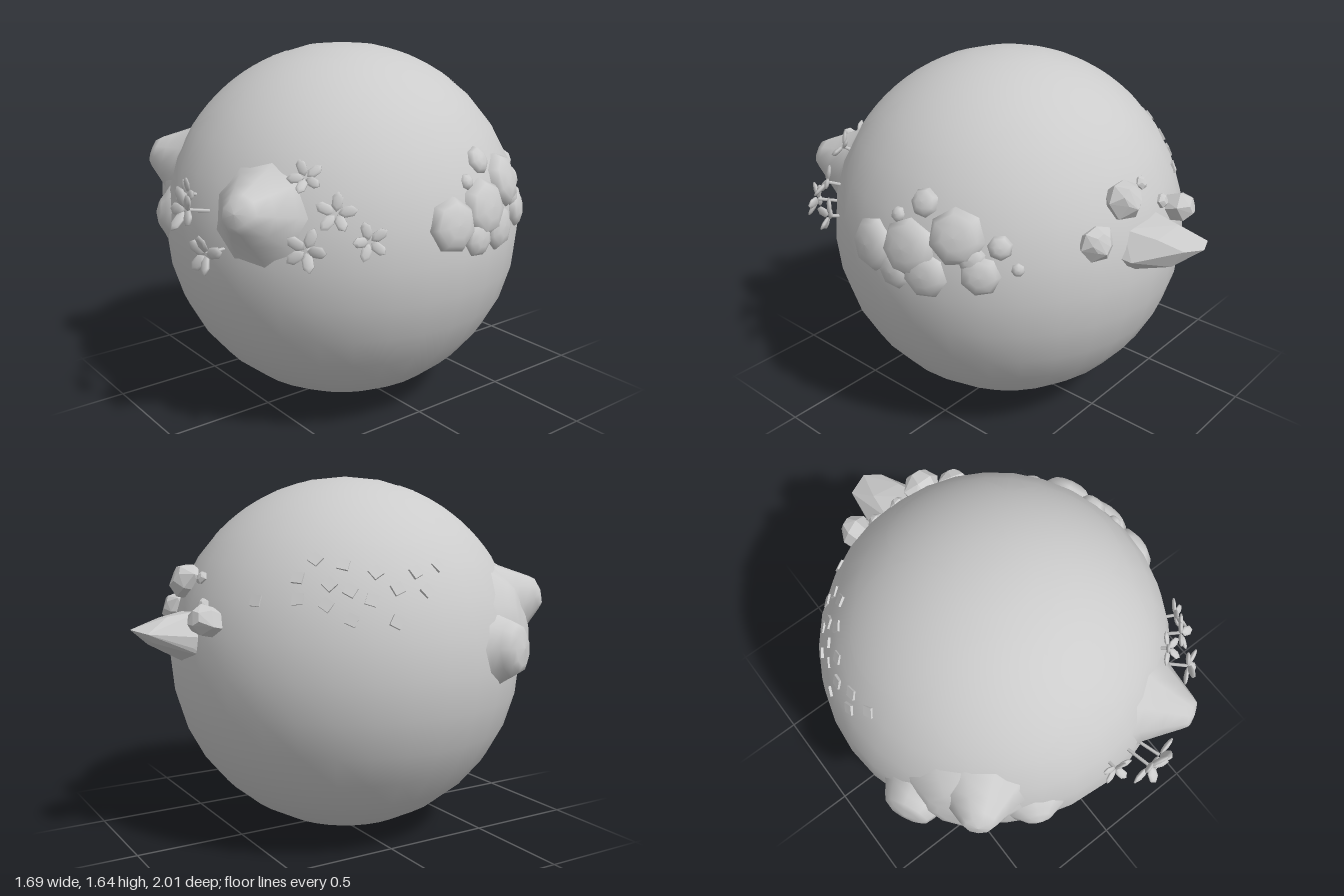
import * as THREE from 'three';
import { ConvexGeometry } from 'three/addons/geometries/ConvexGeometry.js';

const R = 0.82;
const CENTER = new THREE.Vector3(-0.02, R, 0.045);
const UP = new THREE.Vector3(0, 1, 0);
const smooth = new THREE.MeshStandardMaterial({ color: 0xcccccc });
const flat = new THREE.MeshStandardMaterial({ color: 0xcccccc, flatShading: true });

// Group at a distance from the globe's centre, its local +y pointing outwards
function anchor(dir, dist, name) {
  const g = new THREE.Group();
  const n = dir.clone().normalize();
  g.quaternion.setFromUnitVectors(UP, n);
  g.position.copy(CENTER).addScaledVector(n, dist);
  g.name = name;
  return g;
}
const toward = (x, y, z) => new THREE.Vector3(x, y, z).sub(CENTER);

function lathe(points, sides) {
  return new THREE.LatheGeometry(points.map(([r, y]) => new THREE.Vector2(r, y)), sides);
}

// Faceted boulder: hull of a few uneven rings
function rock(rings, sides, twist = 0) {
  const pts = [];
  rings.forEach(([r, y], k) => {
    for (let i = 0; i < sides; i++) {
      const a = (i / sides) * Math.PI * 2 + twist * k;
      const rr = r * (1 + 0.12 * Math.sin(i * 2.3 + k));
      pts.push(new THREE.Vector3(rr * Math.cos(a), y + 0.12 * r * Math.sin(i * 1.7), rr * Math.sin(a)));
    }
  });
  return new ConvexGeometry(pts);
}

export function createModel() {
  const model = new THREE.Group();
  model.name = 'planet';

  const globe = new THREE.Mesh(new THREE.SphereGeometry(R, 32, 16), smooth);
  globe.position.copy(CENTER);
  globe.name = 'globe';
  model.add(globe);

  // Faint round patches lying on the upper half
  const patchGeo = new THREE.SphereGeometry(R - 0.001, 32, 5, 0, Math.PI * 2, 0, 0.34);
  for (const [x, y, z] of [[0.05, 0.7, -0.4], [0.4, 0.7, -0.05], [0.25, 0.65, 0.43], [-0.28, 0.65, 0.4], [-0.4, 0.7, -0.1]]) {
    const g = anchor(new THREE.Vector3(x, y, z), 0, 'surfacePatch');
    g.add(new THREE.Mesh(patchGeo, smooth));
    model.add(g);
  }

  // Flared hills: x, y, z of the tip, tip height, base radius, tip radius
  const hills = [
    [0.41, 1.07, 0.87, 0.18, 0.23, 0.075],
    [-0.62, 1.13, 0.71, 0.145, 0.21, 0.075],
    [-0.79, 0.91, 0.43, 0.1, 0.18, 0.1],
    [-0.37, 0.9, 0.82, 0.055, 0.15, 0.06],
    [-0.63, 1.02, 0.6, 0.06, 0.26, 0.14],
  ];
  for (const [x, y, z, h, base, tip] of hills) {
    const g = anchor(toward(x, y, z), 0.8, 'hill');
    g.add(new THREE.Mesh(lathe([
      [base, -0.03], [base * 0.8, 0.01], [tip + (base - tip) * 0.32, h * 0.5],
      [tip * 1.05, h * 0.85], [tip * 0.75, h], [0, h + 0.01]], 9), smooth));
    model.add(g);
  }

  // Flowers on short stems: x, y, z of the blossom, scale
  const petalGeo = new THREE.SphereGeometry(1, 6, 5).scale(0.043, 0.011, 0.026).translate(0.05, 0, 0);
  const flowers = [
    [0, 1.07, 0.86, 0.85], [0.13, 1.04, 0.94, 1.1], [0.24, 0.88, 0.92, 1.05],
    [0.49, 1.19, 0.61, 0.85], [0.63, 1.07, 0.57, 0.95], [0.6, 0.94, 0.69, 1], [0.71, 0.96, 0.47, 0.9],
  ];
  flowers.forEach(([x, y, z, s], k) => {
    const d = toward(x, y, z);
    const g = anchor(d, d.length(), 'flower');
    const depth = d.length() - 0.79;
    const stem = new THREE.Mesh(new THREE.CylinderGeometry(0.008, 0.008, depth, 5), smooth);
    stem.position.y = -depth / 2;
    stem.name = 'stem';
    g.add(stem);
    for (let i = 0; i < 5; i++) {
      const petal = new THREE.Mesh(petalGeo, smooth);
      petal.rotation.set(0, (i / 5) * Math.PI * 2 + k * 0.9, 0.25 + 0.3 * Math.sin(i * 2 + k));
      petal.scale.setScalar(s);
      petal.name = 'petal';
      g.add(petal);
    }
    model.add(g);
  });

  // Overlapping domes on the left side: z, y, radius
  const domes = [
    [0.1, 0.98, 0.115], [-0.1, 1.02, 0.125], [-0.3, 1.1, 0.12], [-0.13, 1.21, 0.062],
    [-0.02, 1.14, 0.035], [-0.04, 0.9, 0.078], [-0.19, 0.92, 0.1], [-0.41, 0.95, 0.085],
    [-0.46, 1.07, 0.052], [-0.53, 0.98, 0.03], [-0.37, 1.02, 0.06],
  ];
  domes.forEach(([z, y, r], i) => {
    const dy = y - CENTER.y, dz = z - CENTER.z;
    const g = anchor(new THREE.Vector3(Math.sqrt(0.72 - dy * dy - dz * dz), dy, dz), 0.805, 'dome');
    const h = 0.02 + r * 0.32;
    const dome = new THREE.Mesh(lathe([[r, -0.04], [r, h * 0.25], [r * 0.8, h * 0.7], [r * 0.45, h * 0.95], [0, h]], 7), smooth);
    dome.rotation.y = i * 1.3;
    g.add(dome);
    model.add(g);
  });

  // Leaning rock spire at the back, from base corners to a slanted tip
  const spire = new THREE.Mesh(new ConvexGeometry([
    [-0.15, 0.96, -0.7], [-0.14, 0.87, -0.7], [-0.03, 0.83, -0.7], [0.12, 0.86, -0.7], [0.18, 0.95, -0.7],
    [0.12, 1.05, -0.7], [-0.08, 1.07, -0.7], [-0.14, 0.92, -0.77], [0, 0.84, -0.76], [0.17, 0.94, -0.78],
    [-0.12, 0.99, -0.96], [-0.1, 0.95, -0.93], [-0.02, 1.0, -1], [0.05, 1.0, -0.95], [0.06, 0.92, -0.9],
    [-0.06, 1.05, -0.85], [0.08, 1.03, -0.84],
  ].map((p) => new THREE.Vector3(...p))), flat);
  spire.name = 'rockSpire';
  model.add(spire);

  // Smaller boulders around it: x, y, z, radius, height
  for (const [x, y, z, r, h] of [[0.12, 1.2, -0.73, 0.085, 0.09], [0.29, 1.05, -0.7, 0.075, 0.07]]) {
    const g = anchor(toward(x, y, z), 0.8, 'boulder');
    g.add(new THREE.Mesh(rock([[r * 0.8, -0.03], [r, h * 0.45], [r * 0.55, h]], 7, 0.2), flat));
    model.add(g);
  }

  // Crystals with faceted heads: x, y, z, radius, height
  for (const [x, y, z, r, h] of [[-0.235, 1.05, -0.77, 0.07, 0.115], [-0.03, 1.21, -0.69, 0.032, 0.035], [-0.14, 1.1, -0.73, 0.035, 0.04]]) {
    const g = anchor(toward(x, y, z), 0.8, 'crystal');
    g.add(new THREE.Mesh(rock([[r * 0.85, -0.03], [r, h * 0.6], [r * 0.5, h]], 6), flat));
    model.add(g);
  }

  // Scattered square tiles on the right rear, laid out on a plane facing the patch
  const right = new THREE.Vector3(-0.839, 0, 0.545);
  const up = new THREE.Vector3(0.247, 0.891, 0.381);
  const out = new THREE.Vector3(-0.486, 0.454, -0.748);
  const tiles = [
    [-0.03, -0.06], [0.13, 0.05], [0.18, 0.14], [0.15, -0.04], [0.26, 0.04], [0.29, 0.135], [0.265, -0.045],
    [0.34, 0.03], [0.365, -0.085], [0.41, 0.13], [0.42, 0.01], [0.495, 0.085], [0.515, -0.05],
    [0.535, 0.18], [0.585, 0.115], [0.59, 0.245],
  ];
  const tileGeo = new THREE.BoxGeometry(0.047, 0.03, 0.047);
  tiles.forEach(([u, v], i) => {
    const dir = new THREE.Vector3().addScaledVector(right, u).addScaledVector(up, v)
      .addScaledVector(out, Math.sqrt(R * R - u * u - v * v));
    const g = anchor(dir, 0.81, 'tile');
    const tile = new THREE.Mesh(tileGeo, smooth);
    tile.rotation.y = 0.5 + 0.35 * Math.sin(i * 2.7);
    g.add(tile);
    model.add(g);
  });

  return model;
}
